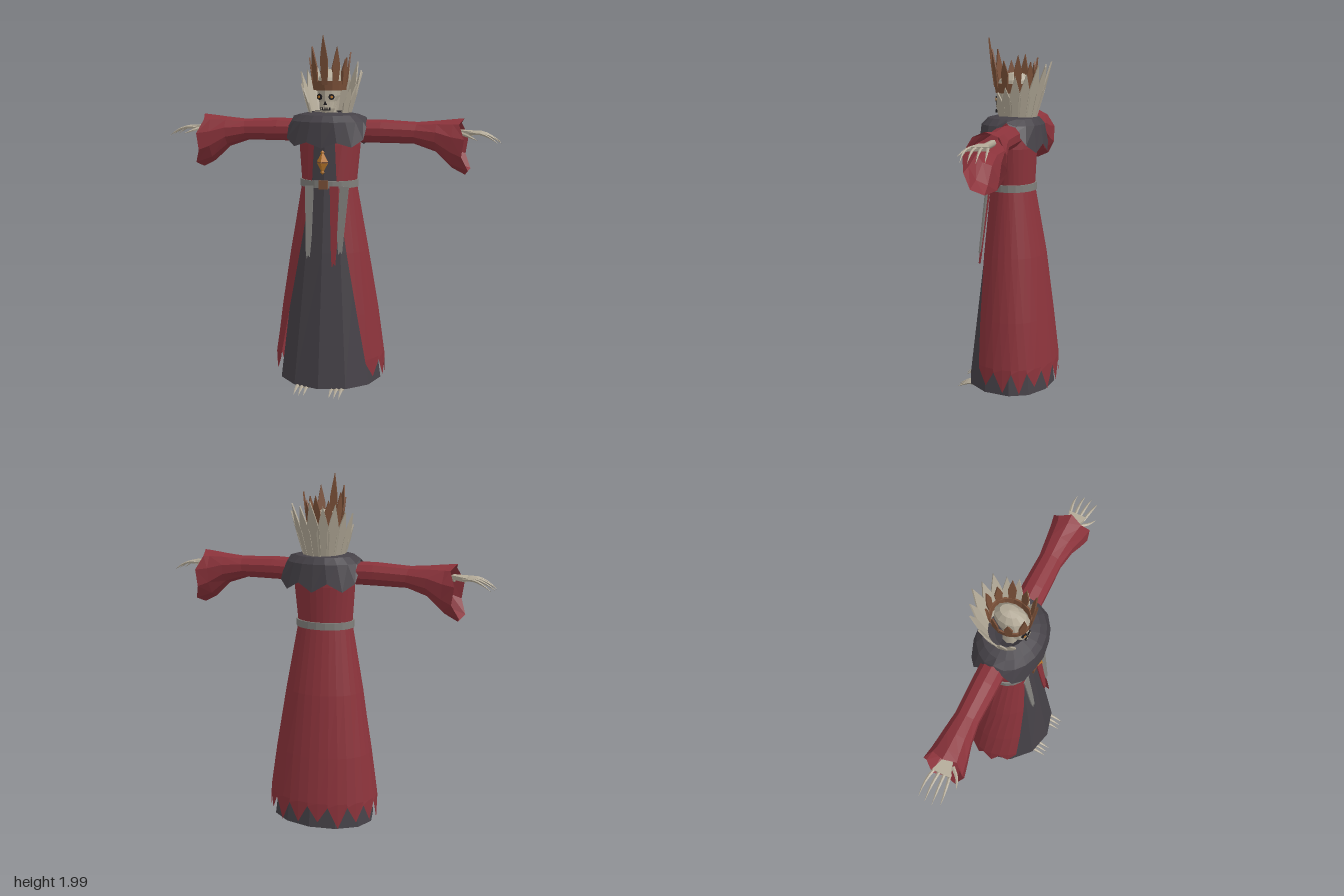
import * as THREE from 'three';

const mat = (name, color, side = THREE.FrontSide) => {
  const m = new THREE.MeshStandardMaterial({ color, side });
  m.name = name;
  return m;
};
const red = mat('red cloth', 0x8b333b, THREE.DoubleSide);
const charcoal = mat('charcoal cloth', 0x454147, THREE.DoubleSide);
const bone = mat('bone', 0xb3aa98, THREE.DoubleSide);
const bronze = mat('bronze', 0x7a5038, THREE.DoubleSide);
const grey = mat('grey leather', 0x807f7b, THREE.DoubleSide);
const gold = mat('amber gold', 0xb8762a);
const dark = mat('dark sockets', 0x1d1b1e);

const V = (x, y, z) => new THREE.Vector3(x, y, z);
const lerp = THREE.MathUtils.lerp;
const rad = THREE.MathUtils.degToRad;

function add(parent, name, geo, material, pos = [0, 0, 0], rot = [0, 0, 0]) {
  const m = new THREE.Mesh(geo, material);
  m.name = name;
  m.position.set(...pos);
  m.rotation.set(...rot, 'YXZ');
  parent.add(m);
  return m;
}

// Faceted surface through rings of points, listed bottom to top
function skin(rings) {
  const pos = [];
  for (let i = 0; i < rings.length - 1; i++)
    for (let j = 0; j < rings[i].length - 1; j++) {
      const a = rings[i][j], b = rings[i][j + 1], c = rings[i + 1][j + 1], d = rings[i + 1][j];
      for (const p of [a, b, c, a, c, d]) pos.push(p.x, p.y, p.z);
    }
  const g = new THREE.BufferGeometry();
  g.setAttribute('position', new THREE.Float32BufferAttribute(pos, 3));
  g.computeVertexNormals();
  return g;
}

// Point on an oval with separate front and back depths; angle 0 faces +z
function oval(a, y, rx, zf, zb, zc) {
  const c = Math.cos(a);
  return V(rx * Math.sin(a), y, zc + (c > 0 ? zf - zc : zc - zb) * c);
}
const ring = (n, y, rx, zf, zb, zc = (zf + zb) / 2) =>
  Array.from({ length: n + 1 }, (_, j) => oval((j / n) * Math.PI * 2, y, rx, zf, zb, zc));
const collapse = (r, x, y, z) => r.map(() => V(x, y, z));

// Flat plate cut from an outline
function plate(pts, depth = 0.008) {
  const shape = new THREE.Shape(pts.map(p => new THREE.Vector2(...p)));
  const g = new THREE.ExtrudeGeometry(shape, { depth, bevelEnabled: false });
  return g.translate(0, 0, -depth / 2);
}
const blade = (w, h) => plate([[-w * 0.7, 0], [w * 0.7, 0], [w, h * 0.5], [w * 0.6, h * 0.72], [0, h], [-w * 0.6, h * 0.72], [-w, h * 0.5]]);

// Bony finger tapering to a point along a curve
function claw(points, r) {
  const curve = new THREE.CatmullRomCurve3(points), n = 6, sides = 5;
  const g = new THREE.TubeGeometry(curve, n, r, sides).toNonIndexed();
  const p = g.attributes.position, uv = g.attributes.uv, v = V();
  for (let i = 0; i < p.count; i++) {
    const t = uv.getX(i);
    v.fromBufferAttribute(p, i).lerp(curve.getPointAt(t), t * t * 0.95);
    p.setXYZ(i, v.x, v.y, v.z);
  }
  g.computeVertexNormals();
  return g;
}

function buildRobes(root) {
  // Inner robe with closed bottom
  const hem = ring(12, 0.035, 0.3, 0.24, -0.262, -0.05);
  add(root, 'innerRobe', skin([
    collapse(hem, 0, 0.035, -0.02), hem,
    ring(12, 0.8, 0.2, 0.148, -0.185, -0.03),
    ring(12, 1.18, 0.142, 0.1, -0.125, -0.02),
    ring(12, 1.4, 0.16, 0.09, -0.135, -0.03),
    ring(12, 1.56, 0.14, 0.08, -0.12, -0.03),
  ]), charcoal);

  // Open coat with a torn hem: y, rx, front, back, centre, half opening in degrees
  const rows = [
    [0.19, 0.318, 0.238, -0.282, -0.05, 51],
    [0.45, 0.282, 0.205, -0.252, -0.045, 45],
    [0.8, 0.225, 0.162, -0.208, -0.03, 37],
    [1.18, 0.157, 0.112, -0.14, -0.02, 27],
    [1.4, 0.176, 0.1, -0.15, -0.03, 20],
    [1.56, 0.16, 0.09, -0.14, -0.03, 20],
  ];
  const n = 24;
  const coat = rows.map(([y, rx, zf, zb, zc, open]) => Array.from({ length: n + 1 }, (_, j) =>
    oval(lerp(rad(open), Math.PI * 2 - rad(open), j / n), y, rx, zf, zb, zc)));
  const torn = coat[0].map((p, j) => V(p.x * 1.01, j % 2 ? 0.065 + 0.02 * Math.sin(j * 2) : 0.17, p.z - 0.002));
  add(root, 'outerCoat', skin([torn, ...coat]), red);

  // Shoulder cape, cut short over the arms
  const m = 20;
  const drop = [1.39, 1.42, 1.395, 1.435, 1.5, 1.55, 1.5, 1.43, 1.385, 1.43, 1.38];
  const capeHem = Array.from({ length: m + 1 }, (_, j) => {
    const y = drop[j > 10 ? m - j : j];
    const s = Math.min(1, (1.57 - y) / 0.15);
    return oval((j / m) * Math.PI * 2, y, lerp(0.2, 0.278, s), lerp(0.15, 0.168, s), lerp(-0.18, -0.212, s), -0.02);
  });
  const mid = capeHem.map((p, j) => {
    const q = oval((j / m) * Math.PI * 2, 1.53, 0.215, 0.158, -0.193, -0.02);
    return p.y > 1.52 ? V(p.x, p.y + 0.003, p.z) : q;
  });
  add(root, 'shoulderCape', skin([capeHem, mid, ring(m, 1.565, 0.17, 0.125, -0.165, -0.02),
    ring(m, 1.58, 0.1, 0.06, -0.1, -0.02)]), charcoal);
}

function buildBelt(root) {
  const b = [[1.162, 0.158], [1.162, 0.168], [1.202, 0.168], [1.202, 0.155]];
  add(root, 'belt', skin(b.map(([y, r]) => ring(20, y, r, r - 0.05, -r + 0.016, -0.02))), grey);
  add(root, 'buckle', new THREE.BoxGeometry(0.05, 0.048, 0.022), bronze, [0, 1.182, 0.117]);
  // Ragged hanging strips
  const strip = (name, x, w, len, skew, m) => add(root, name, plate([
    [-w, 0], [skew - w * 0.75, -len * 0.72], [skew - w * 0.55, -len * 0.9], [skew - w * 0.3, -len],
    [skew, -len * 0.95], [skew + w * 0.4, -len * 0.98], [skew + w * 0.7, -len * 0.7], [w, 0],
  ]), m, [x, 1.175, 0.109], [-0.125, 0, 0]);
  strip('rightGreyStrip', -0.082, 0.024, 0.41, 0.004, grey);
  strip('redStrip', 0.06, 0.025, 0.45, 0.01, red);
  strip('leftGreyStrip', 0.118, 0.026, 0.38, -0.012, grey);
  // Pendant
  const pendant = new THREE.Group();
  pendant.name = 'pendant';
  pendant.position.set(0, 1.31, 0.135);
  root.add(pendant);
  const cone = (y, h, r, flip) => add(pendant, 'pendantPoint', new THREE.ConeGeometry(r, h, 4).toNonIndexed(), gold, [0, y, 0], [flip ? Math.PI : 0, 0, 0]).geometry.computeVertexNormals();
  cone(0.034, 0.06, 0.032);
  cone(-0.034, 0.06, 0.032, true);
  add(pendant, 'pendantRim', new THREE.CylinderGeometry(0.03, 0.03, 0.008, 4), bronze);
  for (const y of [0.055, -0.055]) add(pendant, 'pendantBead', new THREE.OctahedronGeometry(0.013), gold, [0, y, 0]);
}

function buildArm(root, s) {
  const arm = new THREE.Group();
  arm.name = s > 0 ? 'leftArm' : 'rightArm';
  root.add(arm);
  // Sleeve rows: x at top, x at bottom, top, bottom, front z, back z
  const rows = [
    [0.14, 0.14, 1.535, 1.41, 0.045, -0.1], [0.3, 0.3, 1.54, 1.41, 0.045, -0.1],
    [0.5, 0.48, 1.53, 1.41, 0.04, -0.095], [0.61, 0.6, 1.54, 1.37, 0.055, -0.11],
    [0.7, 0.69, 1.55, 1.285, 0.075, -0.125], [0.755, 0.79, 1.555, 1.247, 0.088, -0.14],
  ];
  const n = 10;
  add(arm, 'sleeve', skin(rows.map(([xt, xb, t, b, f, k], i) => Array.from({ length: n + 1 }, (_, j) => {
    const a = (j / n) * Math.PI * 2, c = (1 + Math.cos(a)) / 2;
    const notch = i === 5 && j % 2 ? -0.025 : 0;
    return V(s * (lerp(xb, xt, c) + notch), lerp(b, t, c), (f + k) / 2 + (f - k) / 2 * Math.sin(a));
  }))), red);
  // Skeletal hand
  add(arm, 'forearmBone', new THREE.CylinderGeometry(0.018, 0.018, 0.22, 6), bone, [s * 0.63, 1.475, -0.015], [0, 0, Math.PI / 2]);
  const palm = new THREE.BoxGeometry(0.085, 0.022, 0.1);
  const p = palm.attributes.position;
  for (let i = 0; i < p.count; i++) if (p.getX(i) * s < 0) p.setZ(i, p.getZ(i) * 0.45);
  palm.computeVertexNormals();
  add(arm, 'palm', palm, bone, [s * 0.765, 1.48, -0.01], [0, 0, -s * 0.08]);
  for (let i = 0; i < 4; i++) {
    const z = -0.05 + i * 0.027, k = i - 1.5, len = 0.165 - Math.abs(k) * 0.014;
    add(arm, 'finger', claw([V(s * 0.79, 1.478, z), V(s * (0.8 + len * 0.35), 1.478, z + k * 0.008),
      V(s * (0.8 + len * 0.7), 1.458, z + k * 0.012), V(s * (0.8 + len), 1.428, z + k * 0.013)], 0.009), bone);
  }
  add(arm, 'thumb', claw([V(s * 0.75, 1.475, 0.025), V(s * 0.79, 1.465, 0.065), V(s * 0.84, 1.445, 0.088)], 0.01), bone);
}

function buildFoot(root, s) {
  add(root, 'foot', new THREE.BoxGeometry(0.065, 0.026, 0.15), bone, [s * 0.1, 0.026, 0.11]);
  for (const dx of [-0.028, 0, 0.028]) {
    const x = s * 0.1 + dx;
    add(root, 'toe', claw([V(x, 0.025, 0.17), V(x * 1.01, 0.032, 0.215), V(x * 1.02, 0.006, 0.285)], 0.011), bone);
  }
}

function buildHead(root) {
  // Skull
  const prof = [
    [1.572, 0.032, 0.068, 0.0], [1.6, 0.045, 0.076, -0.02], [1.64, 0.05, 0.074, -0.05], [1.67, 0.063, 0.077, -0.085],
    [1.72, 0.068, 0.08, -0.11], [1.77, 0.06, 0.062, -0.11], [1.805, 0.036, 0.025, -0.08],
  ].map(r => ring(12, ...r));
  add(root, 'skull', skin([collapse(prof[0], 0, 1.568, 0.03), ...prof, collapse(prof[0], 0, 1.815, -0.03)]), bone);
  add(root, 'neck', new THREE.CylinderGeometry(0.035, 0.045, 0.16, 8), bone, [0, 1.57, -0.025]);
  for (const s of [-1, 1]) {
    add(root, 'eyeSocket', new THREE.CylinderGeometry(0.017, 0.017, 0.008, 8).rotateX(Math.PI / 2), dark, [s * 0.034, 1.665, 0.069], [0, s * 0.45, 0]);
    add(root, 'eyeGlow', new THREE.CylinderGeometry(0.008, 0.008, 0.006, 6).rotateX(Math.PI / 2), gold, [s * 0.036, 1.665, 0.073], [0, s * 0.45, 0]);
  }
  add(root, 'noseHole', plate([[-0.01, -0.01], [0.01, -0.01], [0, 0.014]]), dark, [0, 1.63, 0.076]);
  add(root, 'mouth', new THREE.BoxGeometry(0.054, 0.016, 0.009), dark, [0, 1.6, 0.073]);
  for (let i = 0; i < 5; i++) add(root, 'tooth', new THREE.BoxGeometry(0.006, 0.011, 0.006), bone, [(i - 2) * 0.01, 1.601, 0.076]);

  // Bone collar fanning round the back
  for (let i = -6; i <= 6; i++) {
    const k = Math.abs(i) / 6, a = Math.PI + rad(i * 20);
    const o = oval(a, 1.555, 0.11, 0.07, -0.14, -0.03);
    add(root, 'collarPlate', blade(0.037 - k * 0.008, 0.33 - 0.17 * k * k + (i % 2 ? -0.025 : 0)), bone,
      o.toArray(), [0.28, a, 0]);
  }

  // Crown band and spikes
  const band = [[1.7, 0.084], [1.7, 0.091], [1.752, 0.099], [1.752, 0.09], [1.7, 0.084]];
  add(root, 'crownBand', skin(band.map(([y, r]) => ring(14, y, r, r - 0.008, -r - 0.04, -0.025))), bronze);
  const heights = [0.272, 0.21, 0.15, 0.18, 0.14, 0.165];
  for (let i = 0; i < 10; i++) {
    const a = rad(i * 36), o = oval(a, 1.73, 0.092, 0.085, -0.132, -0.025);
    add(root, 'crownSpike', blade(0.022, heights[Math.min(i, 10 - i)]), bronze, o.toArray(), [0.13, a, 0]);
  }
}

export function createModel() {
  const root = new THREE.Group();
  root.name = 'robedSkeletonKing';
  buildRobes(root);
  buildBelt(root);
  for (const s of [1, -1]) {
    buildArm(root, s);
    buildFoot(root, s);
  }
  buildHead(root);
  return root;
}
